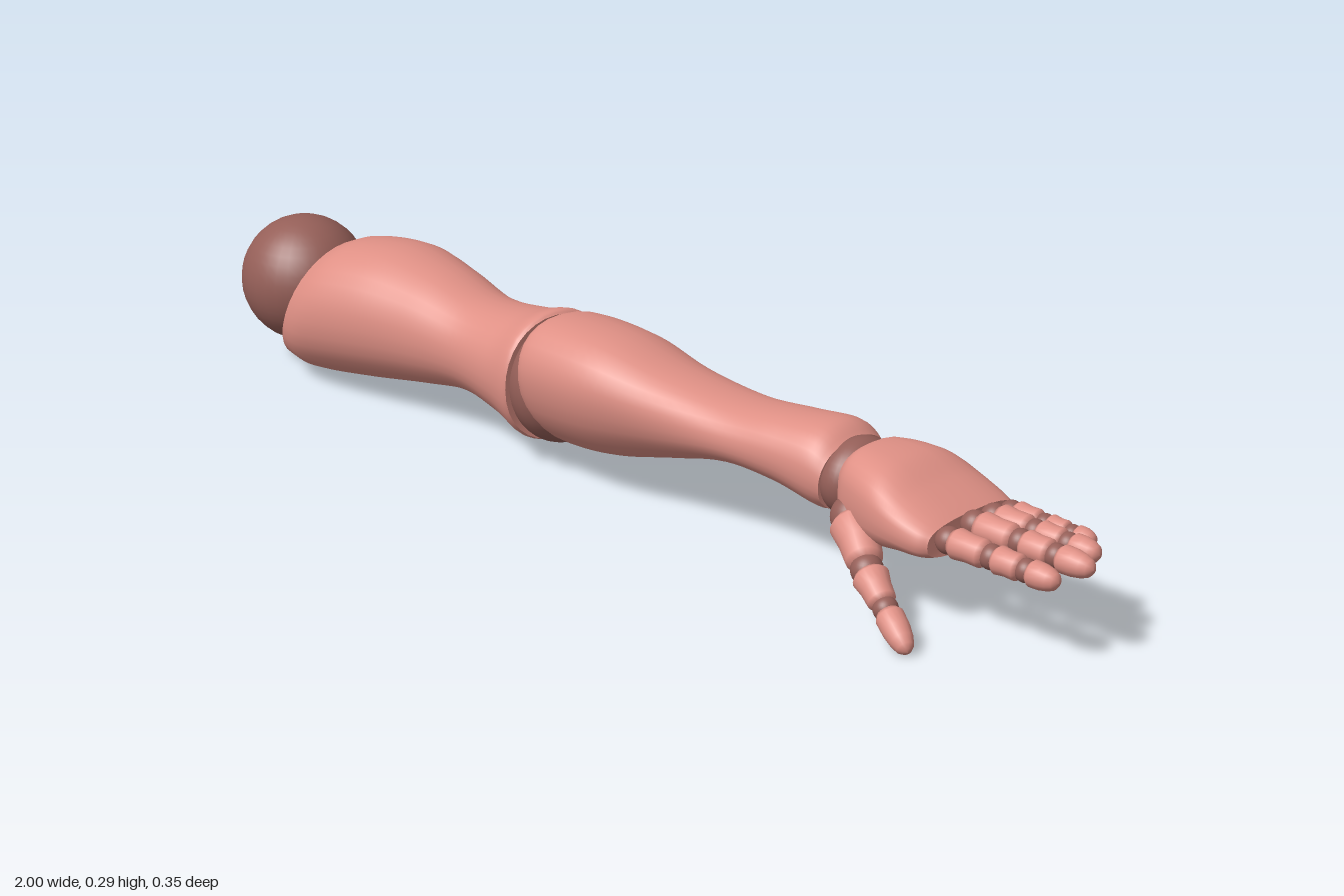
import * as THREE from 'three';

const skin = new THREE.MeshStandardMaterial({ color: 0xdf9085 });
skin.name = 'skin';
const joint = new THREE.MeshStandardMaterial({ color: 0x955f58 });
joint.name = 'joint';

// Smooth loft along x. Each row: [x, lean with height, lean with depth,
// top y, bottom y, back z, front z, skew of top towards front]
function loft(rows, power, dish, steps = 40, sides = 32) {
  const curves = rows[0].map((_, k) =>
    new THREE.SplineCurve(rows.map((r, i) => new THREE.Vector2(i, r[k]))));
  const pow = v => Math.sign(v) * Math.abs(v) ** power;
  const pos = [], index = [];
  for (let i = 0; i <= steps; i++) {
    const [x, a, b, top, bottom, back, front, skew] = curves.map(c => c.getPoint(i / steps).y);
    for (let j = 0; j < sides; j++) {
      const t = j / sides * Math.PI * 2, c = pow(Math.cos(t)), s = pow(Math.sin(t));
      pos.push(x + a * s + b * c,
        (top + bottom) / 2 + s * (top - bottom) / 2,
        (front + back) / 2 + c * (front - back) / 2 + skew * s);
      if (i === steps) continue;
      const p = i * sides + j, q = i * sides + (j + 1) % sides;
      index.push(p, p + sides, q, q, p + sides, q + sides);
    }
  }
  // Dished end caps with their own vertices, so the rims stay sharp
  for (const [row, dir] of [[0, 1], [steps, -1]]) {
    const first = pos.length / 3, mid = [0, 0, 0];
    for (let j = 0; j < sides; j++) {
      for (let k = 0; k < 3; k++) {
        const v = pos[(row * sides + j) * 3 + k];
        pos.push(v);
        mid[k] += v / sides;
      }
      const p = first + j, q = first + (j + 1) % sides;
      index.push(first + sides, ...(dir > 0 ? [p, q] : [q, p]));
    }
    pos.push(mid[0] + dir * dish, mid[1], mid[2]);
  }
  const g = new THREE.BufferGeometry();
  g.setAttribute('position', new THREE.Float32BufferAttribute(pos, 3));
  g.setIndex(index);
  g.computeVertexNormals();
  return g;
}

function add(parent, name, geometry, material) {
  const mesh = new THREE.Mesh(geometry, material);
  mesh.name = name;
  parent.add(mesh);
  return mesh;
}

function ball(parent, name, center, radii) {
  const mesh = add(parent, name, new THREE.SphereGeometry(1, 32, 20), joint);
  mesh.position.set(...center);
  mesh.scale.set(...radii);
}

// Rounded, slightly waisted finger bone between two points
function bone(parent, name, from, to, r0, r1, isTip) {
  const d = to.clone().sub(from), len = d.length();
  const profile = isTip
    ? [[0, 0], [0.75 * r0, 0], [r0, 0.12], [0.97 * r0, 0.45], [r1, 0.7], [0.75 * r1, 0.88], [0.4 * r1, 0.97], [0, 1]]
    : [[0, 0], [0.75 * r0, 0], [r0, 0.15], [(r0 + r1) * 0.47, 0.5], [r1, 0.85], [0.75 * r1, 1], [0, 1]];
  const mesh = add(parent, name,
    new THREE.LatheGeometry(profile.map(([r, h]) => new THREE.Vector2(r, h * len)), 18), skin);
  mesh.position.copy(from);
  mesh.quaternion.setFromUnitVectors(new THREE.Vector3(0, 1, 0), d.normalize());
}

// Chain of bones with dark ball joints between them
function digit(parent, name, points, radii) {
  const group = new THREE.Group();
  group.name = name;
  parent.add(group);
  const p = points.map(v => new THREE.Vector3(...v)), last = p.length - 2;
  for (let i = 0; i <= last; i++) {
    const gap = p[i + 1].clone().sub(p[i]).normalize().multiplyScalar(0.007);
    const r = radii[i] * 0.88;
    ball(group, 'knuckle', points[i], [r, r, r]);
    bone(group, i === last ? 'fingertip' : 'phalanx', p[i].clone().add(gap),
      i === last ? p[i + 1] : p[i + 1].clone().sub(gap), radii[i], radii[i + 1], i === last);
  }
}

export function createModel() {
  const model = new THREE.Group();
  model.name = 'jointedArm';

  // Upper arm with shoulder ball
  ball(model, 'shoulderBall', [-0.88, 0.167, -0.02], [0.12, 0.12, 0.12]);
  add(model, 'upperArm', loft([
    [-0.815, 0.05, 0.012, 0.262, 0.018, -0.145, 0.095, 0],
    [-0.75, 0.04, 0.01, 0.282, 0.013, -0.168, 0.112, 0],
    [-0.63, 0.02, 0, 0.291, 0.03, -0.177, 0.104, 0],
    [-0.5, 0, 0, 0.276, 0.057, -0.15, 0.083, 0],
    [-0.38, 0, 0, 0.25, 0.075, -0.127, 0.07, 0],
    [-0.27, 0, -0.01, 0.258, 0.058, -0.137, 0.082, 0],
    [-0.205, 0, -0.015, 0.277, 0.038, -0.135, 0.096, 0],
    [-0.188, 0, -0.015, 0.272, 0.042, -0.125, 0.096, 0],
  ], 0.95, 0.03), skin);

  // Elbow and forearm
  ball(model, 'elbowBall', [-0.165, 0.157, -0.012], [0.085, 0.112, 0.11]);
  add(model, 'forearm', loft([
    [-0.148, -0.01, -0.012, 0.277, 0.055, -0.128, 0.1, 0.025],
    [-0.115, -0.02, -0.01, 0.294, 0.047, -0.148, 0.112, 0.03],
    [0, 0, 0, 0.293, 0.06, -0.143, 0.115, 0.03],
    [0.13, 0, 0, 0.264, 0.097, -0.115, 0.092, 0.02],
    [0.27, 0, 0, 0.246, 0.137, -0.092, 0.073, 0],
    [0.38, 0, 0, 0.253, 0.13, -0.1, 0.064, 0],
    [0.46, 0, 0, 0.256, 0.11, -0.117, 0.06, 0],
    [0.492, 0.005, 0, 0.235, 0.112, -0.112, 0.055, 0],
  ], 0.92, 0.03), skin);

  // Wrist and palm
  ball(model, 'wristBall', [0.51, 0.172, -0.025], [0.055, 0.068, 0.077]);
  add(model, 'palm', loft([
    [0.525, 0, 0, 0.23, 0.115, -0.085, 0.045, 0],
    [0.55, 0, 0, 0.245, 0.098, -0.112, 0.062, 0],
    [0.62, 0, 0, 0.241, 0.098, -0.14, 0.086, 0],
    [0.68, 0, 0, 0.213, 0.11, -0.147, 0.094, 0],
    [0.725, 0, 0, 0.192, 0.115, -0.143, 0.09, 0],
    [0.745, 0, 0, 0.182, 0.121, -0.136, 0.08, 0],
  ], 0.75, 0.008), skin);

  // Fingers: [name, z at root, z at tip, y, x of knuckles and tip, radius]
  const fingers = [
    ['indexFinger', 0.045, 0.04, 0.157, [0.76, 0.845, 0.912, 0.975], 0.026],
    ['middleFinger', -0.012, -0.016, 0.168, [0.765, 0.855, 0.925, 0.998], 0.027],
    ['ringFinger', -0.06, -0.07, 0.166, [0.765, 0.845, 0.908, 0.968], 0.026],
    ['littleFinger', -0.11, -0.118, 0.157, [0.76, 0.825, 0.878, 0.922], 0.023],
  ];
  for (const [name, z0, z1, y, xs, r] of fingers) {
    digit(model, name, xs.map((x, i) => [x, y + 0.002 * (1 - i), z0 + (z1 - z0) * i / 3]),
      [r, r * 0.92, r * 0.86, r * 0.72]);
  }

  // Thumb
  digit(model, 'thumb', [
    [0.555, 0.135, 0.04], [0.64, 0.087, 0.1], [0.708, 0.052, 0.132], [0.782, 0.011, 0.163],
  ], [0.042, 0.031, 0.024, 0.02]);

  return model;
}
